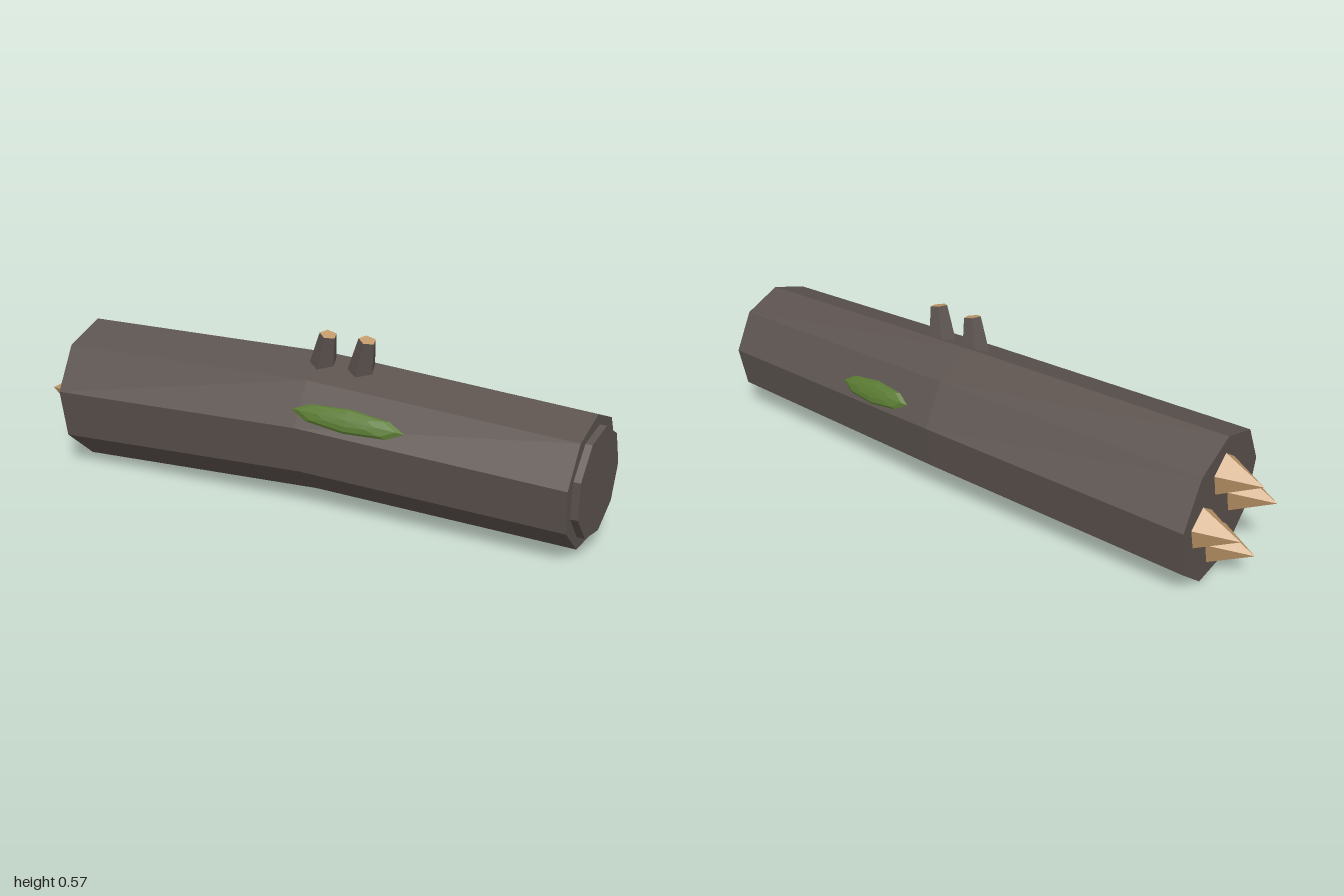
import * as THREE from 'three';

const V = (x, y, z) => new THREE.Vector3(x, y, z);

export function createModel() {
  const model = new THREE.Group();
  const material = (name, color) =>
    new THREE.MeshStandardMaterial({ name, color, flatShading: true });
  const bark = material('bark', 0x5c534f);
  const wood = material('freshWood', 0xc19a6b);
  const moss = material('moss', 0x5a7a32);

  const add = (name, geometry, mat) => {
    const mesh = new THREE.Mesh(geometry, mat);
    mesh.name = name;
    model.add(mesh);
    return mesh;
  };

  // Tapered prism running from one point to another
  const rod = (name, from, to, r0, r1, sides, start, mat) => {
    const dir = to.clone().sub(from);
    const geo = new THREE.CylinderGeometry(r1, r0, dir.length(), sides, 1, false, start);
    const mesh = add(name, geo, mat);
    mesh.position.copy(from).add(to).multiplyScalar(0.5);
    mesh.quaternion.setFromUnitVectors(V(0, 1, 0), dir.normalize());
    return mesh;
  };

  // Trunk: three nine-sided rings along a slightly bent axis
  const rings = [
    { c: V(-0.866, 0.234, 0.007), r: 0.249 },
    { c: V(0.06, 0.25, -0.022), r: 0.233 },
    { c: V(0.97, 0.222, 0.008), r: 0.211 },
  ];
  const bends = [
    rings[1].c.clone().sub(rings[0].c),
    rings[2].c.clone().sub(rings[0].c),
    rings[2].c.clone().sub(rings[1].c),
  ];
  const N = 9, pos = [], index = [];
  rings.forEach(({ c, r }, k) => {
    const d = bends[k];
    for (let i = 0; i < N; i++) {
      const a = (i / N) * Math.PI * 2;
      const dy = r * Math.cos(a), dz = r * Math.sin(a);
      pos.push(c.x - (d.y * dy + d.z * dz) / d.x, c.y + dy, c.z + dz);
    }
  });
  rings.forEach(({ c }) => pos.push(c.x, c.y, c.z));
  for (let i = 0; i < N; i++) {
    const j = (i + 1) % N;
    for (const b of [0, N]) {
      index.push(b + i, b + j, b + N + i, b + j, b + N + j, b + N + i);
    }
    index.push(3 * N, j, i, 3 * N + 2, 2 * N + i, 2 * N + j);
  }
  const trunk = new THREE.BufferGeometry();
  trunk.setAttribute('position', new THREE.Float32BufferAttribute(pos, 3));
  trunk.setIndex(index);
  const flat = trunk.toNonIndexed();
  flat.computeVertexNormals();
  add('trunk', flat, bark);

  // Raised disc on the sawn end
  rod('endDisc', V(0.94, 0.223, 0.007), V(0.994, 0.222, 0.009), 0.174, 0.174, 9, Math.PI, bark);

  // Splinters on the broken end
  for (const [y, z] of [[0.36, 0], [0.235, -0.12], [0.235, 0.12], [0.11, 0]]) {
    rod('splinter', V(-0.855, y, z), V(-1, y, z), 0.077, 0, 5, Math.PI / 2, wood);
  }

  // Cut branch stubs with pale tips
  for (const x of [0.06, 0.2]) {
    rod('branchStub', V(x, 0.43, 0.02), V(x + 0.034, 0.564, 0.044),
      0.05, 0.029, 5, 0, [bark, wood, bark]);
  }

  // Moss cushions lying on the upper front and back faces
  const mossPatch = (name, center, along, side, length) => {
    const u = along.normalize();
    const n = V(0, 0.5, 0.866 * side);
    n.addScaledVector(u, -n.dot(u)).normalize();
    const mesh = add(name, new THREE.SphereGeometry(1, 8, 6), moss);
    mesh.quaternion.setFromRotationMatrix(
      new THREE.Matrix4().makeBasis(u, n, u.clone().cross(n)));
    mesh.scale.set(length, 0.016, 0.04);
    mesh.position.copy(center);
  };
  mossPatch('frontMoss', V(0.235, 0.335, 0.182), V(1, -0.04, 0.01), 1, 0.2);
  mossPatch('backMoss', V(0.305, 0.325, -0.216), V(1, -0.04, 0.055), -1, 0.146);

  return model;
}
